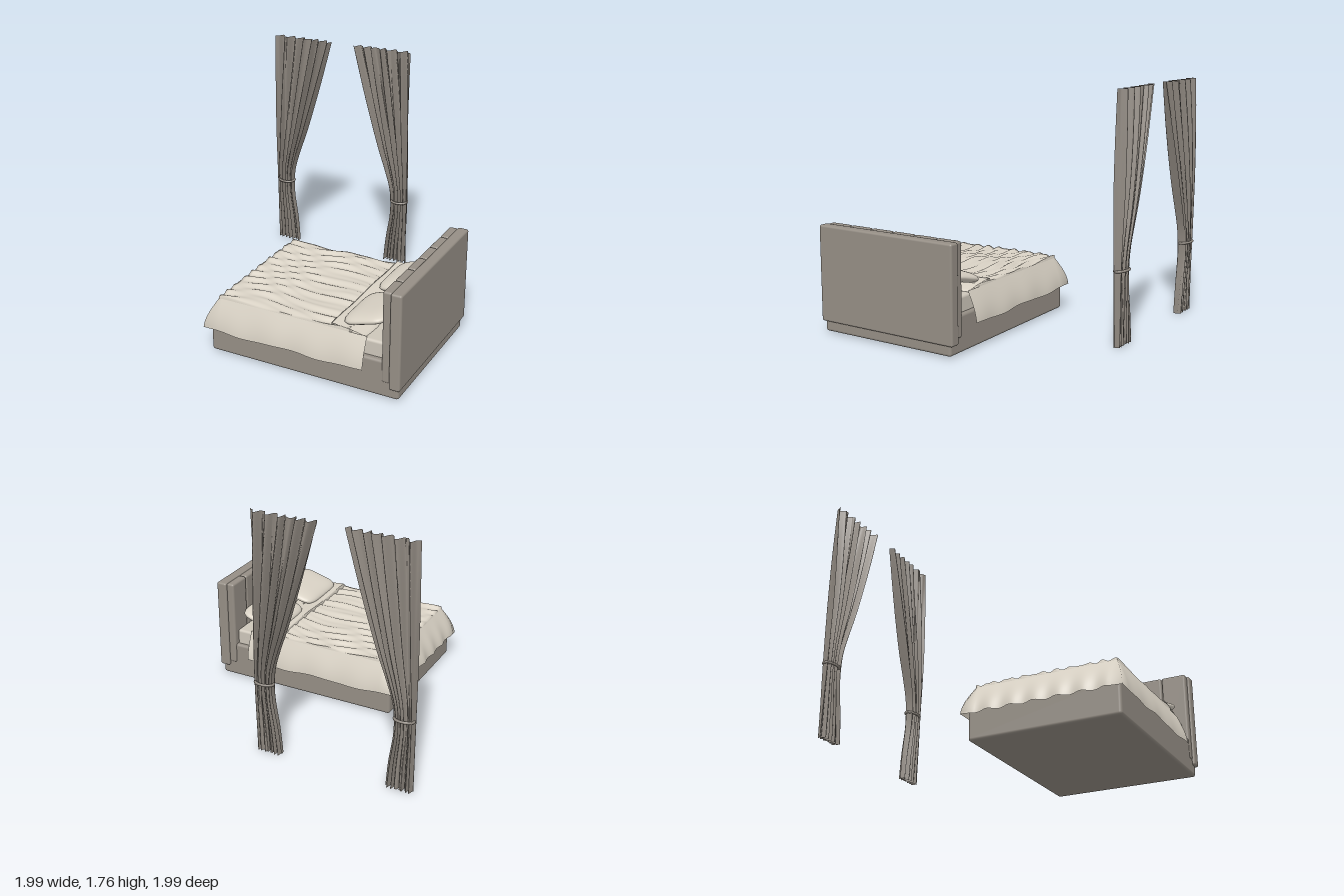
import * as THREE from 'three';
import { RoundedBoxGeometry } from 'three/addons/geometries/RoundedBoxGeometry.js';

const mat = (name, color, side = THREE.FrontSide) => {
  const m = new THREE.MeshStandardMaterial({ color, side });
  m.name = name;
  return m;
};

// Surface from a rule: fn(i, j) gives the point [x, y, z] of column i, row j
function grid(nu, nv, fn) {
  const pos = [], idx = [];
  for (let j = 0; j <= nv; j++) for (let i = 0; i <= nu; i++) pos.push(...fn(i, j));
  for (let j = 0; j < nv; j++) for (let i = 0; i < nu; i++) {
    const a = j * (nu + 1) + i, b = a + 1, c = a + nu + 1, d = c + 1;
    idx.push(a, c, b, b, c, d);
  }
  const g = new THREE.BufferGeometry();
  g.setAttribute('position', new THREE.Float32BufferAttribute(pos, 3));
  g.setIndex(idx);
  g.computeVertexNormals();
  return g;
}

// Smooth lookup through [y, value] pairs
function profile(pairs) {
  const curve = new THREE.SplineCurve(pairs.map(([y, v]) => new THREE.Vector2(v, y)));
  const pts = curve.getPoints(120);
  return y => {
    let k = 1;
    while (k < pts.length - 1 && pts[k].y < y) k++;
    const a = pts[k - 1], b = pts[k];
    return a.x + (b.x - a.x) * THREE.MathUtils.clamp((y - a.y) / (b.y - a.y), 0, 1);
  };
}

export function createModel() {
  const root = new THREE.Group();
  root.name = 'bedAndCurtains';
  const frame = mat('taupe upholstery', 0x958e85);
  const curtainCloth = mat('taupe curtain', 0x8f8880, THREE.DoubleSide);
  const linen = mat('cream linen', 0xd8d1c4, THREE.DoubleSide);
  const mattressCloth = mat('mattress cloth', 0xcdc6ba);

  const add = (name, geo, m, parent = root) => {
    const mesh = new THREE.Mesh(geo, m);
    mesh.name = name;
    parent.add(mesh);
    return mesh;
  };
  const box = (name, x0, x1, y0, y1, z0, z1, r, m) => {
    const mesh = add(name, new RoundedBoxGeometry(x1 - x0, y1 - y0, z1 - z0, 3, r), m);
    mesh.position.set((x0 + x1) / 2, (y0 + y1) / 2, (z0 + z1) / 2);
  };

  // Bed frame, headboard and mattress
  box('bedBase', -0.45, 0.975, 0.01, 0.275, -0.14, 0.96, 0.02, frame);
  box('headboardBack', 0.91, 0.99, 0.085, 0.78, -0.165, 0.98, 0.015, frame);
  const padW = 1.12 / 6;
  for (let i = 0; i < 6; i++) {
    const z = -0.153 + i * padW;
    box('headboardPad', 0.852, 0.915, 0.12, 0.778, z + 0.002, z + padW - 0.002, 0.016, frame);
  }
  box('mattress', -0.4, 0.855, 0.26, 0.388, -0.11, 0.925, 0.02, mattressCloth);

  // Rumpled top of the duvet, its rim dropping to the mattress
  const X0 = -0.4, X1 = 0.73, Z0 = -0.11, Z1 = 0.925;
  const wrinkle = (x, z) =>
    0.006 * Math.sin(52 * z + 9 * x + 2.2 * Math.sin(6 * x + 3 * z)) +
    0.004 * Math.sin(83 * z - 11 * x + 2 * Math.sin(9 * x - 5 * z)) +
    0.003 * Math.sin(14 * x + 5 * z);
  const NU = 50, NV = 100;
  add('duvetTop', grid(NU, NV, (i, j) => {
    const rim = i === 0 || j === 0 || i === NU || j === NV;
    const x = X0 + (0.6 - X0) * THREE.MathUtils.clamp((i - 1) / (NU - 2), 0, 1);
    const z = Z0 + (Z1 - Z0) * THREE.MathUtils.clamp((j - 1) / (NV - 2), 0, 1);
    return [x, rim ? 0.388 : 0.42 + wrinkle(x, z), z];
  }), linen);

  // Turned-back band below the pillows
  add('duvetFold', grid(24, 50, (i, j) => {
    const z = Z0 + (Z1 - Z0) * j / 50, t = Math.max(0, (i - 1) / 23);
    const end = 0.71 + 0.018 * Math.sin(9 * z + 1);
    const x = 0.47 + (end - 0.47) * t;
    const y = 0.436 - 0.036 * t * t + 0.004 * Math.sin(12 * z + 9 * x) * (1 - t);
    return [x, i === 0 || i === 24 ? 0.392 : y, z];
  }), linen);

  // Flared skirt of the duvet round three sides: [x, z, outX, outZ]
  const path = [];
  for (let k = 0; k <= 50; k++) path.push([X1 + (X0 - X1) * k / 50, Z0, k === 50 ? -1 : 0, -1]);
  for (let k = 1; k < 60; k++) path.push([X0, Z0 + (Z1 - Z0) * k / 60, -1, 0]);
  for (let k = 0; k <= 50; k++) path.push([X0 + (X1 - X0) * k / 50, Z1, k === 0 ? -1 : 0, 1]);
  add('duvetSkirt', grid(path.length - 1, 12, (i, j) => {
    const [x, z, ox, oz] = path[i], k = j / 12;
    const flare = Math.sin(k * 1.4) / Math.sin(1.4);
    const foot = 0.092 + 0.009 * k * Math.sin(z * 37);
    const side = 0.068 + 0.004 * k * Math.sin(x * 21);
    const hem = 0.185 + 0.007 * Math.sin(x * 11) + 0.006 * Math.sin(z * 37 + 1);
    return [x + ox * foot * flare, 0.405 + (hem - 0.405) * k, z + oz * side * flare];
  }), linen);

  // Pillows: a sphere squared off in plan and flattened
  const pillowGeo = new THREE.SphereGeometry(1, 40, 24);
  const p = pillowGeo.attributes.position;
  for (let i = 0; i < p.count; i++) {
    const x = p.getX(i), y = p.getY(i), z = p.getZ(i), r = Math.hypot(x, z);
    if (r < 1e-6) {
      p.setXYZ(i, 0, y * 0.043, 0);
      continue;
    }
    const c = x / r, s = z / r;
    const q = Math.pow(r, 0.6) / Math.pow(Math.abs(c) ** 5 + Math.abs(s) ** 5, 0.2);
    p.setXYZ(i, c * q * 0.165, y * 0.043, s * q * 0.23);
  }
  pillowGeo.computeVertexNormals();
  for (const z of [0.137, 0.672]) {
    const pillow = add('pillow', pillowGeo, linen);
    pillow.position.set(0.68, 0.478, z);
    pillow.rotation.z = 0.27;
  }

  // Curtains gathered by a tie; the second mirrors the first
  const inner = profile([[0, -0.805], [0.2, -0.825], [0.4, -0.857], [0.53, -0.862], [0.65, -0.85],
    [0.8, -0.805], [1, -0.735], [1.4, -0.61], [1.76, -0.505]]);
  const depth = profile([[0, 0.032], [0.5, 0.038], [1, 0.05], [1.4, 0.046], [1.76, 0.034]]);
  const curtain = flip => {
    const g = new THREE.Group();
    g.name = flip ? 'rightCurtain' : 'leftCurtain';
    const X = x => flip ? -0.82 - x : x;
    add('drape', grid(100, 36, (i, j) => {
      const u = i / 100, y = 1.76 * (1 - j / 36), w = inner(y) + 1;
      const fold = Math.sin(u * 40 + 1.2 * Math.sin(u * 7 + y));
      const pleat = 0.72 * fold + 0.28 * Math.sin(u * 71 + 2 + y * 0.8);
      const sway = 0.12 * Math.cos(u * 40) * w / 7 * Math.sin(u * Math.PI);
      return [X(-1 + w * u + sway), y, -0.943 + depth(y) * pleat];
    }), curtainCloth, g);
    const loop = [];
    for (let k = 0; k < 20; k++) {
      const a = k / 20 * Math.PI * 2;
      loop.push(new THREE.Vector3(X(-0.926 + 0.067 * Math.cos(a)), 0.532 - 0.006 * Math.sin(a),
        -0.943 + 0.045 * Math.sin(a)));
    }
    const tie = new THREE.CatmullRomCurve3(loop, true);
    add('tieBack', new THREE.TubeGeometry(tie, 40, 0.01, 8, true), curtainCloth, g);
    root.add(g);
  };
  curtain(false);
  curtain(true);
  return root;
}
